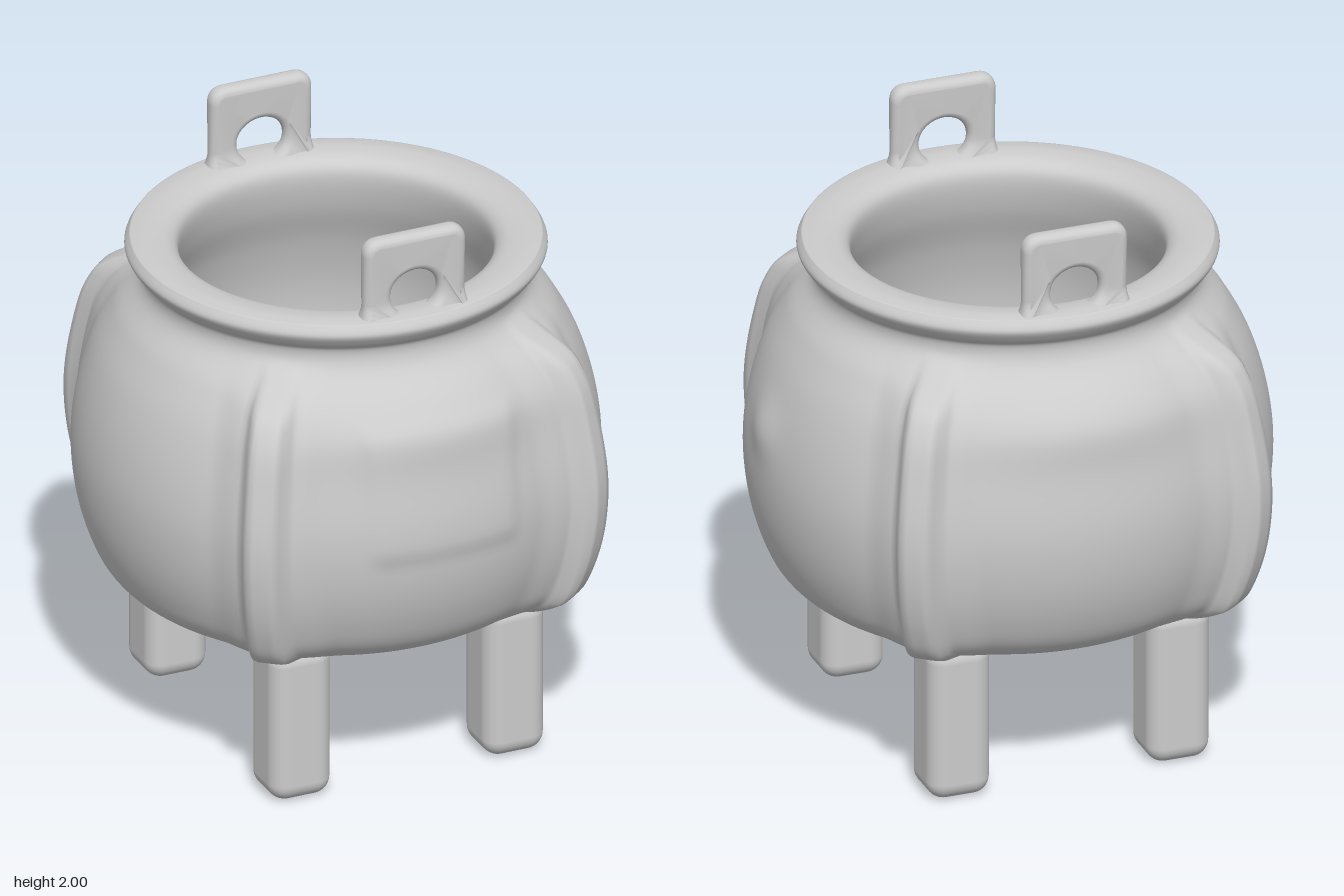
import * as THREE from 'three';
import { mergeVertices } from 'three/addons/utils/BufferGeometryUtils.js';
import { RoundedBoxGeometry } from 'three/addons/geometries/RoundedBoxGeometry.js';

const material = new THREE.MeshStandardMaterial({ color: 0xcccccc, roughness: 0.8 });
const RIB_ANGLE = Math.atan2(0.605, 0.72);
const smooth = THREE.MathUtils.smoothstep;
const bell = (v, centre, width) => Math.exp(-(((v - centre) / width) ** 2));

function addMesh(parent, name, geometry) {
  const mesh = new THREE.Mesh(geometry, material);
  mesh.name = name;
  parent.add(mesh);
  return mesh;
}

// Smooth normals across seams
function weld(geometry) {
  geometry.deleteAttribute('uv');
  geometry.deleteAttribute('normal');
  const merged = mergeVertices(geometry, 1e-4);
  merged.computeVertexNormals();
  return merged;
}

// Height of the four upright ribs above the belly, with a soft flared foot
function ribHeight(x, y, z, r) {
  const d = r * Math.abs(Math.atan2(Math.abs(x), Math.abs(z)) - RIB_ANGLE);
  const across = 0.62 * (1 - smooth(d, 0.038, 0.075)) + 0.38 * (1 - smooth(d, 0.045, 0.2));
  const along = smooth(y, 0.44, 0.57) * (1 - smooth(y, 1.42, 1.57));
  return 0.1 * across * along;
}

// Departure of the belly from a plain turned shape
function bellyShape(x, y, z, r) {
  const sin2 = (2 * x * z) / (r * r);
  const side = (x / r) ** 2, face = (z / r) ** 2;
  let push = 0.015 * sin2 * sin2 + 0.012 * side - 0.012 * face;
  // Fuller shoulders at front and back
  push += 0.045 * face * face * bell(y, 1.38, 0.13);
  // Faint raised panel on the front
  if (z > 0) {
    push += 0.01 * (1 - smooth(Math.abs(x - 0.02), 0.22, 0.29)) * (1 - smooth(Math.abs(y - 1.16), 0.19, 0.26));
  }
  // Small rough lump on the left side
  if (x > 0) push += 0.02 * bell(z, 0.02, 0.1) * bell(y, 1.15, 0.09);
  return push * smooth(y, 0.46, 0.62) * (1 - smooth(y, 1.45, 1.58));
}

// Bellied pot: ribbed outer wall, rolled lip and bowl-shaped hollow
function potGeometry() {
  const outer = [
    [0, 0.41], [0.25, 0.42], [0.46, 0.45], [0.62, 0.5], [0.73, 0.57], [0.79, 0.68], [0.83, 0.83],
    [0.842, 1.0], [0.82, 1.17], [0.77, 1.33], [0.7, 1.46], [0.64, 1.55], [0.632, 1.61],
    [0.662, 1.645], [0.685, 1.685], [0.668, 1.72],
  ];
  const inner = [
    [0.61, 1.725], [0.54, 1.71], [0.51, 1.66], [0.53, 1.54], [0.59, 1.38], [0.63, 1.2],
    [0.63, 1.03], [0.58, 0.86], [0.47, 0.71], [0.32, 0.61], [0.15, 0.56], [0, 0.55],
  ];
  const curve = (pts, n) => new THREE.SplineCurve(pts.map((p) => new THREE.Vector2(...p))).getPoints(n);
  const outerRows = curve(outer, 105);
  const profile = [...outerRows, ...curve([outer.at(-1), ...inner], 72).slice(1)];
  const geometry = new THREE.LatheGeometry(profile, 288);
  const pos = geometry.attributes.position;
  for (let i = 0; i < pos.count; i++) {
    if (i % profile.length >= outerRows.length) continue;
    const x = pos.getX(i), y = pos.getY(i), z = pos.getZ(i);
    const r = Math.hypot(x, z);
    if (r < 0.3) continue;
    const s = 1 + (bellyShape(x, y, z, r) + ribHeight(x, y, z, r)) / r;
    pos.setXYZ(i, x * s, y, z * s);
  }
  return weld(geometry);
}

// Stubby leg with rounded edges
function legGeometry() {
  const geometry = new RoundedBoxGeometry(0.215, 0.55, 0.215, 6, 0.06);
  geometry.translate(0, 0.28, 0);
  return geometry;
}

// Upright lug with an arched hole, thicker at the top and spreading onto the lip
function handleGeometry() {
  const bevel = 0.025, w = 0.18 - bevel, top = 2.0 - bevel, base = 1.67, c = 0.03;
  const shape = new THREE.Shape();
  shape.moveTo(-w - 0.03, base);
  shape.lineTo(w + 0.03, base);
  shape.quadraticCurveTo(w, 1.72, w, 1.77);
  shape.lineTo(w, top - c);
  shape.quadraticCurveTo(w, top, w - c, top);
  shape.lineTo(-w + c, top);
  shape.quadraticCurveTo(-w, top, -w, top - c);
  shape.lineTo(-w, 1.77);
  shape.quadraticCurveTo(-w, 1.72, -w - 0.03, base);
  const hole = new THREE.Path();
  hole.absellipse(0, 1.785, 0.085 + bevel, 0.08 + bevel, 0, Math.PI * 2, true);
  shape.holes.push(hole);
  const geometry = new THREE.ExtrudeGeometry(shape, {
    depth: 0.01, bevelThickness: bevel, bevelSize: bevel, bevelSegments: 5, curveSegments: 24,
  });
  geometry.translate(0, 0, -0.005);
  const pos = geometry.attributes.position;
  for (let i = 0; i < pos.count; i++) {
    const y = pos.getY(i);
    pos.setZ(i, pos.getZ(i) * (0.85 + 0.25 * smooth(y, 1.8, 1.93) + 0.7 * (1 - smooth(y, 1.69, 1.77))));
  }
  return weld(geometry);
}

export function createModel() {
  const model = new THREE.Group();
  model.name = 'cauldron';
  addMesh(model, 'ribbedPot', potGeometry());

  const leg = legGeometry(), handle = handleGeometry();
  for (const [zName, sz] of [['front', 1], ['back', -1]]) {
    for (const [xName, sx] of [['Left', 1], ['Right', -1]]) {
      addMesh(model, `${zName}${xName}Leg`, leg).position.set(sx * 0.38, 0, sz * 0.48);
    }
    addMesh(model, `${zName}Handle`, handle).position.z = sz * 0.595;
  }
  return model;
}
